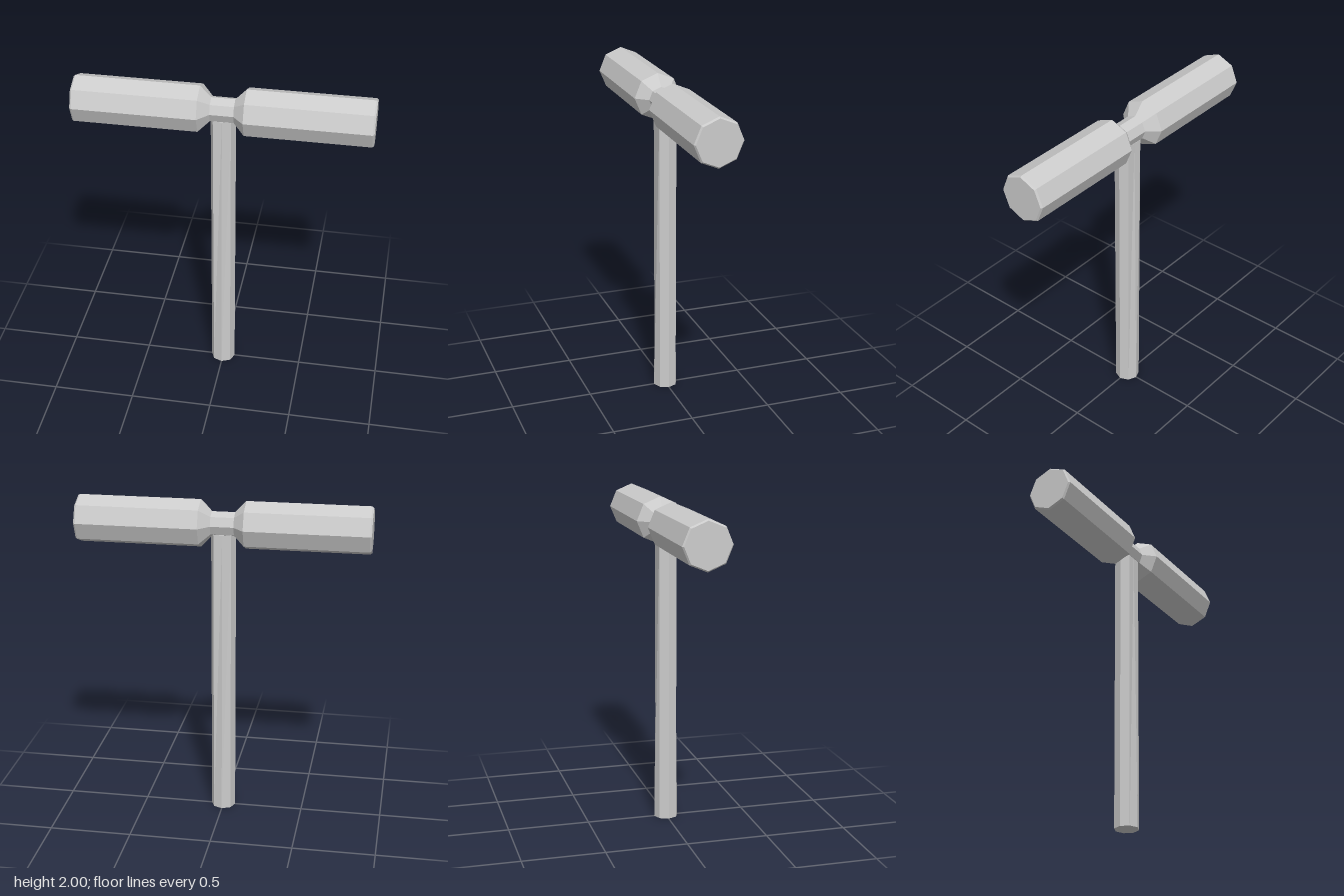
import * as THREE from 'three';

const SIDES = 8;
const HEAD_Y = 1.855;
const HEAD_R = 0.145;
const NECK_R = 0.075;
const HANDLE_TOP = 1.8;

export function createModel() {
  const group = new THREE.Group();
  group.name = 'mallet';
  const material = new THREE.MeshStandardMaterial({ color: 0xcccccc, flatShading: true });

  // Head: octagonal barrel on the x axis, chamfered ends and a narrow waist
  const half = [[0.07, NECK_R], [0.135, HEAD_R], [0.87, HEAD_R], [0.88, 0.136], [0.88, 0]];
  const profile = [
    ...half.slice().reverse().map(([x, r]) => new THREE.Vector2(r, -x)),
    ...half.map(([x, r]) => new THREE.Vector2(r, x)),
  ];
  const headGeometry = new THREE.LatheGeometry(profile, SIDES);
  headGeometry.rotateZ(-Math.PI / 2);
  const head = new THREE.Mesh(headGeometry, material);
  head.name = 'head';
  head.position.y = HEAD_Y;
  group.add(head);

  // Handle: octagonal shaft whose front and back edges flatten towards the head
  const handleGeometry = new THREE.CylinderGeometry(NECK_R, NECK_R, HANDLE_TOP, SIDES);
  const pos = handleGeometry.attributes.position;
  for (let i = 0; i < pos.count; i++) {
    if (pos.getY(i) > 0 && Math.abs(pos.getX(i)) < 0.001) {
      pos.setZ(i, pos.getZ(i) * Math.SQRT1_2);
    }
  }
  handleGeometry.computeVertexNormals();
  const handle = new THREE.Mesh(handleGeometry, material);
  handle.name = 'handle';
  handle.position.y = HANDLE_TOP / 2;
  group.add(handle);

  return group;
}
